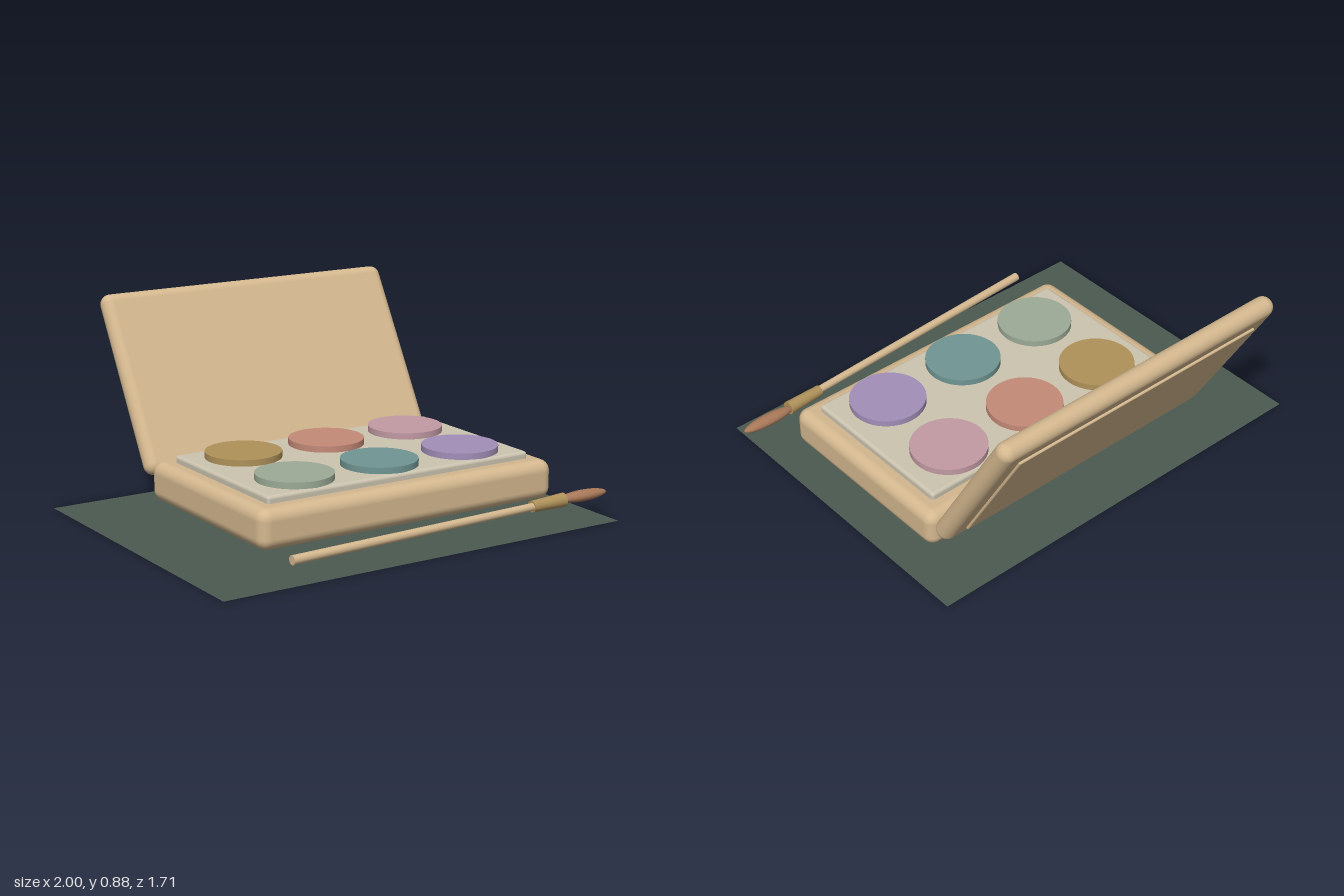
import * as THREE from 'three';
import { RoundedBoxGeometry } from 'three/addons/geometries/RoundedBoxGeometry.js';

const mat = (name, color, side = THREE.FrontSide) => {
  const m = new THREE.MeshStandardMaterial({ color, side });
  m.name = name;
  return m;
};

export function createModel() {
  const model = new THREE.Group();
  model.name = 'paintBox';
  const wood = mat('tan wood', 0xd4b88f);
  const cream = mat('cream', 0xccc4b0);
  const ochre = mat('ochre', 0xb0925a);
  const coral = mat('coral', 0xc48a78);
  const pink = mat('pink', 0xc29aa4);
  const sage = mat('sage', 0x9cab97);
  const teal = mat('teal', 0x709694);
  const violet = mat('violet', 0xa28fb8);
  const bristle = mat('bristle brown', 0xa87858);
  const cloth = mat('dark green cloth', 0x4c5a50, THREE.DoubleSide);

  const add = (name, geometry, material, x, y, z, parent = model) => {
    const mesh = new THREE.Mesh(geometry, material);
    mesh.name = name;
    mesh.position.set(x, y, z);
    parent.add(mesh);
    return mesh;
  };

  // Flat cloth under everything
  add('cloth', new THREE.PlaneGeometry(1.955, 1.485).rotateX(-Math.PI / 2), cloth, -0.0225, 0, 0.1075);

  // Box base and the raised tray
  const cx = 0.0875;
  add('base', new RoundedBoxGeometry(1.485, 0.175, 0.94, 5, 0.05), wood, cx, 0.1355, 0.089);
  add('tray', new RoundedBoxGeometry(1.325, 0.06, 0.775, 4, 0.015), cream, cx, 0.225, 0.089);

  // Six round paints, back row then front row
  const paints = [['ochre', ochre], ['coral', coral], ['pink', pink], ['sage', sage], ['teal', teal], ['violet', violet]];
  const disc = new THREE.CylinderGeometry(0.168, 0.168, 0.04, 48);
  paints.forEach(([name, material], i) => {
    add(name + 'Paint', disc, material, cx + (i % 3 - 1) * 0.425, 0.263, i < 3 ? -0.118 : 0.299);
  });

  // Open lid, leaning back, with a thin panel on its outer face
  const lid = new THREE.Group();
  lid.name = 'lid';
  lid.position.set(cx, 0.513, -0.622);
  lid.rotation.x = -Math.PI / 6;
  model.add(lid);
  add('lidBoard', new RoundedBoxGeometry(1.485, 0.845, 0.09, 6, 0.0449), wood, 0, 0, 0, lid);
  add('lidPanel', new RoundedBoxGeometry(1.29, 0.66, 0.02, 3, 0.006), wood, 0, -0.012, -0.046, lid);

  // Brush lying in front of the box
  const brush = new THREE.Group();
  brush.name = 'brush';
  brush.position.y = 0.092;
  model.add(brush);
  const rod = (name, r0, r1, length, material, x, z, turn) => {
    const g = new THREE.CylinderGeometry(r1, r0, length, 24).rotateZ(-Math.PI / 2);
    add(name, g, material, x, 0, z, brush).rotation.y = turn;
  };
  rod('brushHandle', 0.02, 0.017, 1.25, wood, -0.04, 0.766, 0.058);
  rod('brushFerrule', 0.025, 0.031, 0.18, ochre, 0.668, 0.721, 0.058);
  const tip = add('brushTip', new THREE.SphereGeometry(1, 32, 20).rotateZ(-Math.PI / 2), bristle, 0.87, 0, 0.709, brush);
  tip.scale.set(0.13, 0.025, 0.031);

  return model;
}
